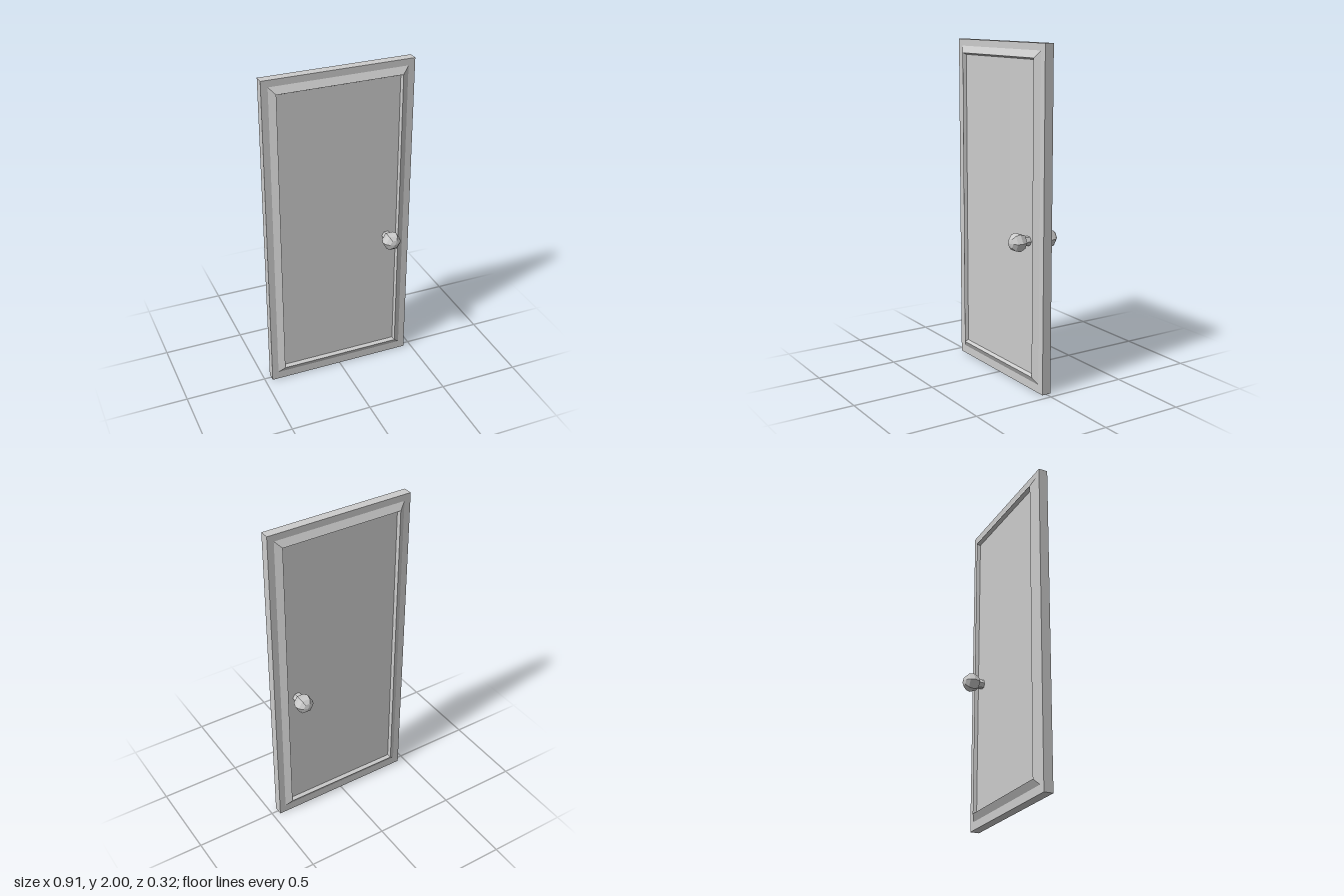
import * as THREE from 'three';

const FACE = 0.028; // half thickness of the door slab

// Rectangular moulding lofted through rings of [halfWidth, bottom, top, z]
function mouldingGeometry(rings) {
  const corners = rings.map(([w, b, t, z]) => [[-w, b, z], [w, b, z], [w, t, z], [-w, t, z]]);
  const pos = [];
  for (let r = 0; r < rings.length - 1; r++) {
    for (let i = 0; i < 4; i++) {
      const j = (i + 1) % 4;
      const a = corners[r][i], b = corners[r][j], c = corners[r + 1][j], d = corners[r + 1][i];
      pos.push(...a, ...b, ...c, ...a, ...c, ...d);
    }
  }
  const geo = new THREE.BufferGeometry();
  geo.setAttribute('position', new THREE.Float32BufferAttribute(pos, 3));
  geo.computeVertexNormals();
  return geo;
}

// Six-sided knob with its neck, axis along z
function knobGeometry() {
  const profile = [
    [0.029, FACE], [0.029, 0.063], [0.044, 0.066], [0.058, 0.102],
    [0.05, 0.131], [0.029, 0.151], [0, 0.158],
  ].map(([r, z]) => new THREE.Vector2(r, z));
  return new THREE.LatheGeometry(profile, 6, Math.PI / 2).rotateX(Math.PI / 2);
}

export function createModel() {
  const group = new THREE.Group();
  group.name = 'door';
  const material = new THREE.MeshStandardMaterial({ color: 0xcccccc, flatShading: true });
  const add = (name, geometry, parent) => {
    const mesh = new THREE.Mesh(geometry, material);
    mesh.name = name;
    parent.add(mesh);
    return mesh;
  };

  // Slab
  add('slab', new THREE.BoxGeometry(0.91, 2, FACE * 2), group).position.y = 1;

  // Wide outer bevel, then a steep drop back to the panel
  const moulding = mouldingGeometry([
    [0.415, 0.05, 1.96, FACE],
    [0.376, 0.088, 1.919, 0.05],
    [0.369, 0.098, 1.909, FACE],
  ]);
  const knob = knobGeometry();

  // Both faces carry the same moulding and knob
  for (const [side, turn] of [['front', 0], ['back', Math.PI]]) {
    add(side + 'Moulding', moulding, group).rotation.y = turn;
    const handle = add(side + 'Knob', knob, group);
    handle.position.set(0.306, 0.885, 0);
    handle.rotation.y = turn;
  }
  return group;
}
